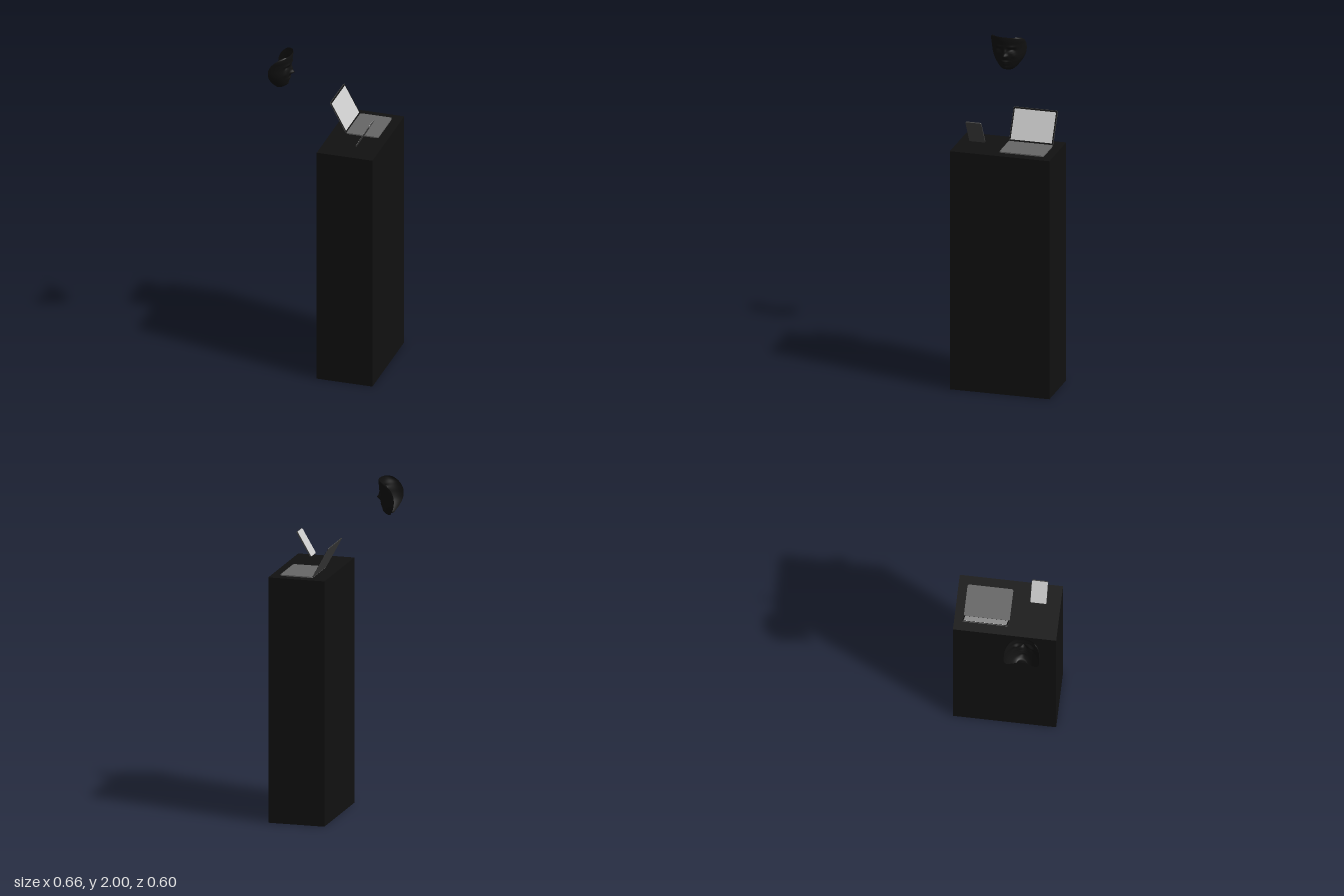
import * as THREE from 'three';

const paint = (color, side = THREE.FrontSide) => new THREE.MeshStandardMaterial({ color, side });
const black = paint(0x111111);
const dark = paint(0x444444);
const metal = paint(0x666666);
const glass = paint(0xcccccc);

// Upright rounded slab facing +x: bottom edge on y = 0, width along z, from x = x0 to x0 + t
function slab(name, w, h, t, r, material, x0 = 0, y0 = 0) {
  const a = w / 2, s = new THREE.Shape();
  s.moveTo(-a + r, 0);
  s.lineTo(a - r, 0);
  s.absarc(a - r, r, r, -Math.PI / 2, 0);
  s.absarc(a - r, h - r, r, 0, Math.PI / 2);
  s.absarc(-a + r, h - r, r, Math.PI / 2, Math.PI);
  s.absarc(-a + r, r, r, Math.PI, Math.PI * 1.5);
  const g = new THREE.ExtrudeGeometry(s, { depth: t, bevelEnabled: false, curveSegments: 6 });
  g.translate(0, y0, x0).rotateY(Math.PI / 2);
  const m = new THREE.Mesh(g, material);
  m.name = name;
  return m;
}

// Group of slabs leaning by an angle about its bottom edge
function leaning(name, x, y, z, angle, ...parts) {
  const g = new THREE.Group();
  g.name = name;
  g.add(...parts);
  g.position.set(x, y, z);
  g.rotation.z = angle;
  return g;
}

// Face shell: horizontal cross-sections with soft bumps for the features
function faceMask() {
  // height, centre depth, rim depth, half width
  const rows = [
    [1.800, -0.288, -0.292, 0.028], [1.788, -0.272, -0.283, 0.027], [1.790, -0.257, -0.290, 0.036],
    [1.805, -0.242, -0.300, 0.053], [1.830, -0.232, -0.315, 0.073], [1.860, -0.225, -0.326, 0.091],
    [1.890, -0.222, -0.330, 0.100], [1.920, -0.221, -0.326, 0.103], [1.950, -0.217, -0.311, 0.103],
    [1.975, -0.214, -0.287, 0.100], [1.992, -0.214, -0.262, 0.088], [2.000, -0.215, -0.242, 0.068],
  ];
  const curve = (k) => new THREE.CatmullRomCurve3(rows.map((r, i) => new THREE.Vector3(r[k], r[0], i * 0.02)));
  const centre = curve(1), rim = curve(2), half = curve(3);
  // size, height, sideways offset, spread in height and sideways
  const features = [
    [0.022, 1.884, 0, 0.012, 0.013], [0.012, 1.908, 0, 0.018, 0.009],
    [0.007, 1.845, 0, 0.006, 0.022], [0.005, 1.832, 0, 0.005, 0.018], [0.006, 1.806, 0, 0.010, 0.018],
    [-0.006, 1.855, 0, 0.004, 0.02], [-0.004, 1.839, 0, 0.003, 0.02],
  ];
  for (const s of [-1, 1]) {
    features.push([-0.013, 1.918, s * 0.04, 0.010, 0.017], [0.006, 1.914, s * 0.04, 0.005, 0.011],
      [0.005, 1.940, s * 0.04, 0.007, 0.025], [0.005, 1.882, s * 0.055, 0.014, 0.016],
      [0.006, 1.881, s * 0.013, 0.006, 0.006]);
  }
  const NU = 56, NV = 72, pos = [], idx = [];
  for (let j = 0; j <= NV; j++) {
    const t = j / NV;
    const c = centre.getPoint(t), r = rim.getPoint(t), h = half.getPoint(t);
    for (let i = 0; i <= NU; i++) {
      const a = (i / NU - 0.5) * Math.PI, y = c.y, z = h.x * Math.sin(a);
      let x = r.x + (c.x - r.x) * Math.cos(a);
      if (t > 0.15) {
        for (const [d, fy, fz, sy, sz] of features) {
          x += d * Math.exp(-(((y - fy) / sy) ** 2) - ((z - fz) / sz) ** 2);
        }
      }
      pos.push(x, y, z + 0.135);
      if (i < NU && j < NV) {
        const p = j * (NU + 1) + i, q = p + NU + 1;
        idx.push(p, q, p + 1, p + 1, q, q + 1);
      }
    }
  }
  const g = new THREE.BufferGeometry();
  g.setAttribute('position', new THREE.Float32BufferAttribute(pos, 3));
  g.setIndex(idx);
  g.computeVertexNormals();
  const m = new THREE.Mesh(g, paint(0x111111, THREE.DoubleSide));
  m.name = 'faceMask';
  return m;
}

export function createModel() {
  const model = new THREE.Group();

  // Tall plinth
  const plinth = new THREE.Mesh(new THREE.BoxGeometry(0.34, 1.468, 0.604), black);
  plinth.name = 'plinth';
  plinth.position.set(0.16, 0.734, 0);
  model.add(plinth);

  // Open laptop
  const laptop = new THREE.Group();
  laptop.name = 'laptop';
  laptop.add(
    leaning('laptopBase', 0.077, 1.476, -0.115, -Math.PI / 2,
      slab('keyboardDeck', 0.268, 0.197, 0.007, 0.012, metal)),
    leaning('laptopLid', 0.079, 1.474, -0.115, 0.495,
      slab('lidShell', 0.268, 0.206, 0.004, 0.009, dark, -0.004),
      slab('bezel', 0.264, 0.203, 0.001, 0.008, black, 0, 0.001),
      slab('screen', 0.25, 0.184, 0.0008, 0.002, glass, 0.001, 0.011)),
  );
  model.add(laptop);

  // Tilted phone, screen towards the mask
  model.add(leaning('phone', 0.2, 1.498, 0.173, -0.53,
    slab('phoneBody', 0.096, 0.168, 0.007, 0.008, dark, -0.003),
    slab('phoneScreen', 0.093, 0.165, 0.001, 0.007, glass, -0.004, 0.0015)));

  model.add(faceMask());
  return model;
}
